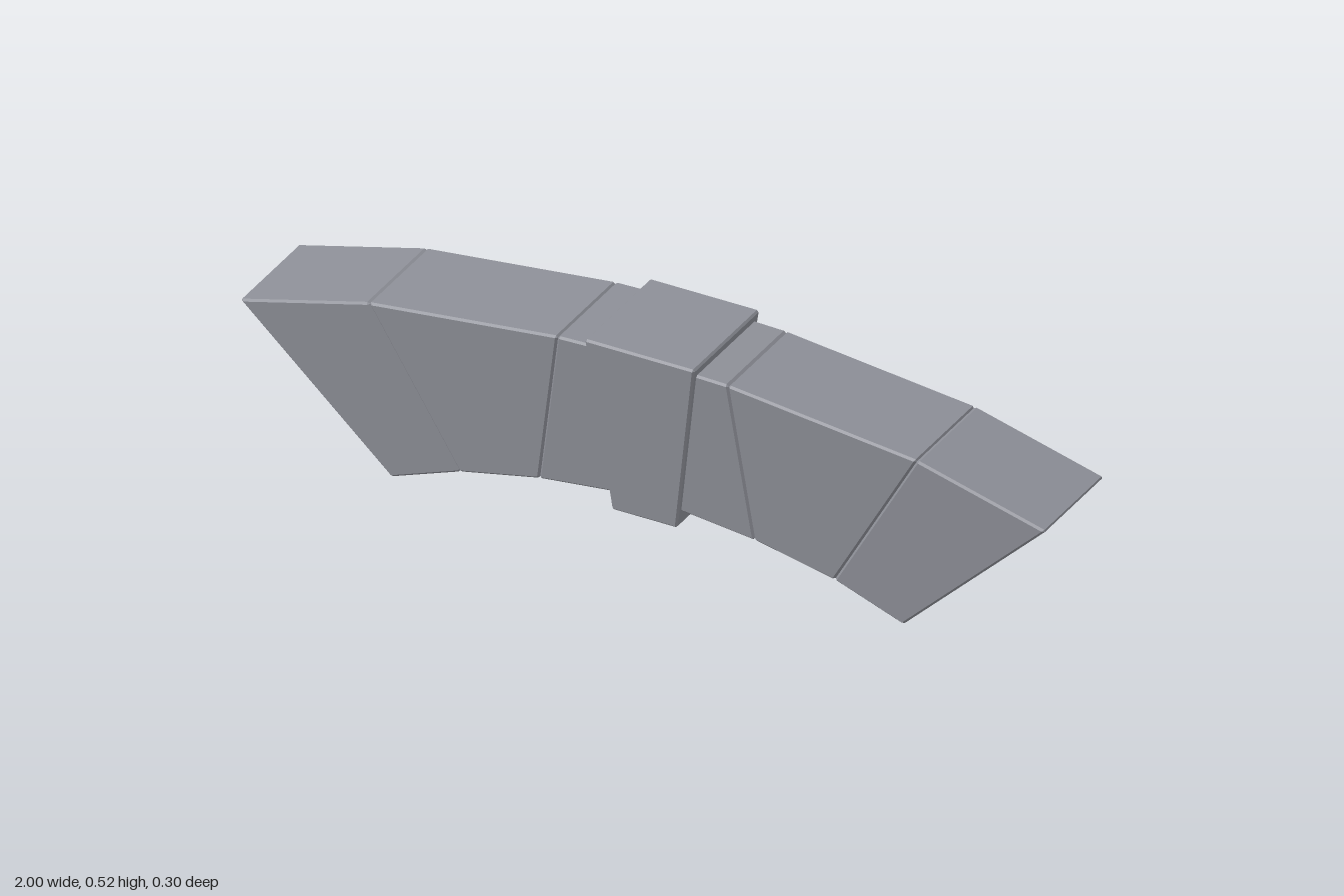
import * as THREE from 'three';
import { ConvexGeometry } from 'three/addons/geometries/ConvexGeometry.js';

const material = new THREE.MeshStandardMaterial({ color: 0x8d8f97, flatShading: true });
const BEVEL = 0.005;

// Wedge stone: four corners seen from the front (top left, top right,
// bottom right, bottom left), half depth at top and bottom, bevelled edges.
function stone(name, quad, topDepth, bottomDepth) {
  const corner = (i, side) =>
    new THREE.Vector3(quad[i][0], quad[i][1], side * (i < 2 ? topDepth : bottomDepth));
  const points = [];
  for (const side of [-1, 1]) {
    for (let i = 0; i < 4; i++) {
      const p = corner(i, side);
      const edges = [corner((i + 1) % 4, side), corner((i + 3) % 4, side), corner(i, -side)]
        .map((q) => q.sub(p).normalize());
      // One inset point on each of the three faces that meet at this corner
      for (let k = 0; k < 3; k++) {
        const a = edges[k], b = edges[(k + 1) % 3];
        const inset = BEVEL / Math.sin(a.angleTo(b));
        points.push(p.clone().addScaledVector(a, inset).addScaledVector(b, inset));
      }
    }
  }
  const mesh = new THREE.Mesh(new ConvexGeometry(points), material);
  mesh.name = name;
  return mesh;
}

// Same wedge on the other half of the arch
const mirror = (quad) => [1, 0, 3, 2].map((i) => [-quad[i][0], quad[i][1]]);

export function createModel() {
  const arch = new THREE.Group();
  arch.name = 'stoneArch';

  // Keystone, standing proud of its neighbours
  arch.add(stone('keystone', [[-0.137, 0.515], [0.137, 0.515], [0.081, 0.085], [-0.081, 0.085]], 0.148, 0.125));

  // Arch stones from the keystone outwards
  const sideStones = {
    InnerStone: [[0.105, 0.495], [0.212, 0.492], [0.268, 0.103], [0.055, 0.127]],
    MiddleStone: [[0.212, 0.492], [0.683, 0.439], [0.466, 0.061], [0.268, 0.103]],
    EndStone: [[0.683, 0.439], [1.0035, 0.353], [0.637, -0.002], [0.466, 0.061]],
  };
  for (const [name, quad] of Object.entries(sideStones)) {
    arch.add(stone('left' + name, quad, 0.133, 0.114));
    arch.add(stone('right' + name, mirror(quad), 0.133, 0.114));
  }
  return arch;
}
